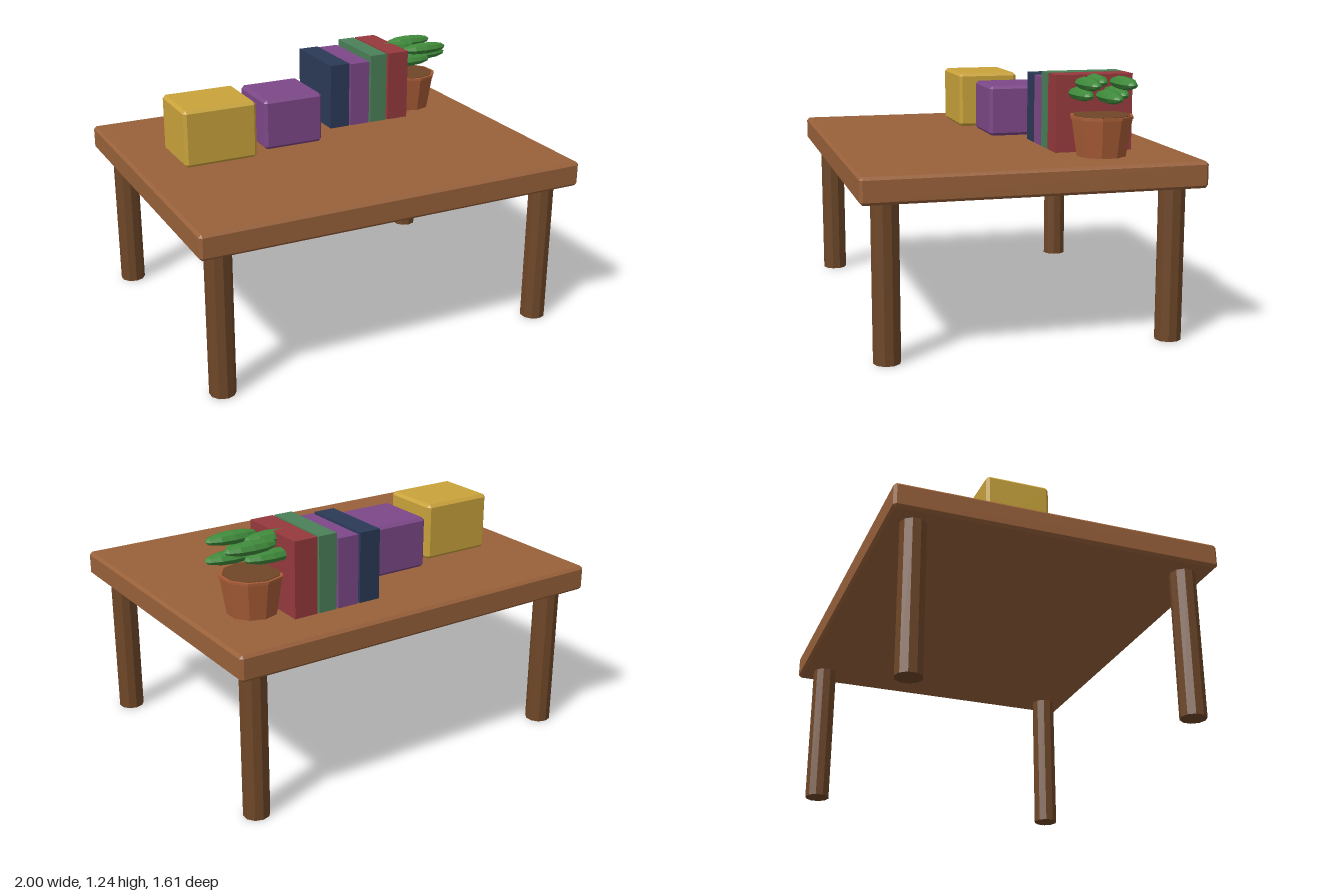
import * as THREE from 'three';
import { ConvexGeometry } from 'three/addons/geometries/ConvexGeometry.js';

const material = (name, color) => {
  const m = new THREE.MeshStandardMaterial({ color });
  m.name = name;
  return m;
};

// Give a geometry one normal per face
function faceted(geometry) {
  const g = geometry.index ? geometry.toNonIndexed() : geometry;
  g.computeVertexNormals();
  return g;
}

// Box with chamfered edges, spanning w x h x d around the origin
function chamferBox(w, h, d, c) {
  const points = [];
  for (const x of [-1, 1]) for (const y of [-1, 1]) for (const z of [-1, 1]) {
    for (let full = 0; full < 3; full++) {
      const half = [w / 2, h / 2, d / 2].map((v, i) => (i === full ? v : v - c));
      points.push(new THREE.Vector3(x * half[0], y * half[1], z * half[2]));
    }
  }
  return new ConvexGeometry(points);
}

export function createModel() {
  const group = new THREE.Group();
  group.name = 'deskWithObjects';

  const tableWood = material('table wood', 0x98613a);
  const legWood = material('leg wood', 0x6e4728);
  const yellow = material('yellow', 0xc9a33b);
  const purple = material('purple', 0x7d4888);
  const navy = material('navy', 0x2c3a58);
  const green = material('book green', 0x4b8059);
  const red = material('red', 0x963a3d);
  const clay = material('clay', 0xa85c36);
  const soilBrown = material('soil brown', 0x704729);
  const leafGreen = material('leaf green', 0x3f8a3b);

  function add(name, geometry, mat, x, y, z, parent = group) {
    const mesh = new THREE.Mesh(geometry, mat);
    mesh.name = name;
    mesh.position.set(x, y, z);
    parent.add(mesh);
    return mesh;
  }

  // Table
  const top = 0.87;
  add('tableTop', chamferBox(2, 0.125, 1.61, 0.014), tableWood, 0, top - 0.0625, 0);
  const legGeometry = faceted(new THREE.CylinderGeometry(0.064, 0.064, 0.75, 10));
  for (const x of [-0.872, 0.872]) for (const z of [-0.677, 0.677]) {
    add('tableLeg', legGeometry, legWood, x, 0.375, z);
  }

  // Two storage boxes
  add('yellowBox', chamferBox(0.38, 0.29, 0.32, 0.015), yellow, -0.585, top + 0.145, -0.13);
  add('purpleBox', chamferBox(0.32, 0.26, 0.32, 0.015), purple, -0.163, top + 0.13, -0.197);

  // Row of upright books: left edge, right edge, top height
  const books = new THREE.Group();
  books.name = 'books';
  group.add(books);
  [
    [0.125, 0.235, 1.215, navy],
    [0.245, 0.355, 1.21, purple],
    [0.365, 0.46, 1.24, green],
    [0.47, 0.59, 1.24, red],
  ].forEach(([x0, x1, y, mat]) => {
    add('book', new THREE.BoxGeometry(x1 - x0, y - top, 0.385), mat,
      (x0 + x1) / 2, (y + top) / 2, -0.39, books);
  });

  // Potted plant
  const plant = new THREE.Group();
  plant.name = 'plant';
  plant.position.set(0.7, top, -0.387);
  group.add(plant);
  add('pot', faceted(new THREE.CylinderGeometry(0.149, 0.12, 0.18, 10)), clay, 0, 0.09, 0, plant);
  add('potRim', faceted(new THREE.CylinderGeometry(0.153, 0.153, 0.012, 10)), clay, 0, 0.184, 0, plant);
  add('soil', faceted(new THREE.CylinderGeometry(0.138, 0.138, 0.01, 10)), soilBrown, 0, 0.188, 0, plant);

  // Ring of leaves in two alternating heights, all pointing sideways
  const leafGeometry = faceted(
    new THREE.SphereGeometry(1, 8, 6).rotateZ(Math.PI / 2).scale(0.135, 0.032, 0.048));
  for (let i = 0; i < 6; i++) {
    const a = (i * Math.PI) / 3;
    add('leaf', leafGeometry, leafGreen,
      0.1 * Math.cos(a), i % 2 ? 0.342 : 0.285, 0.1 * Math.sin(a), plant);
  }
  return group;
}
